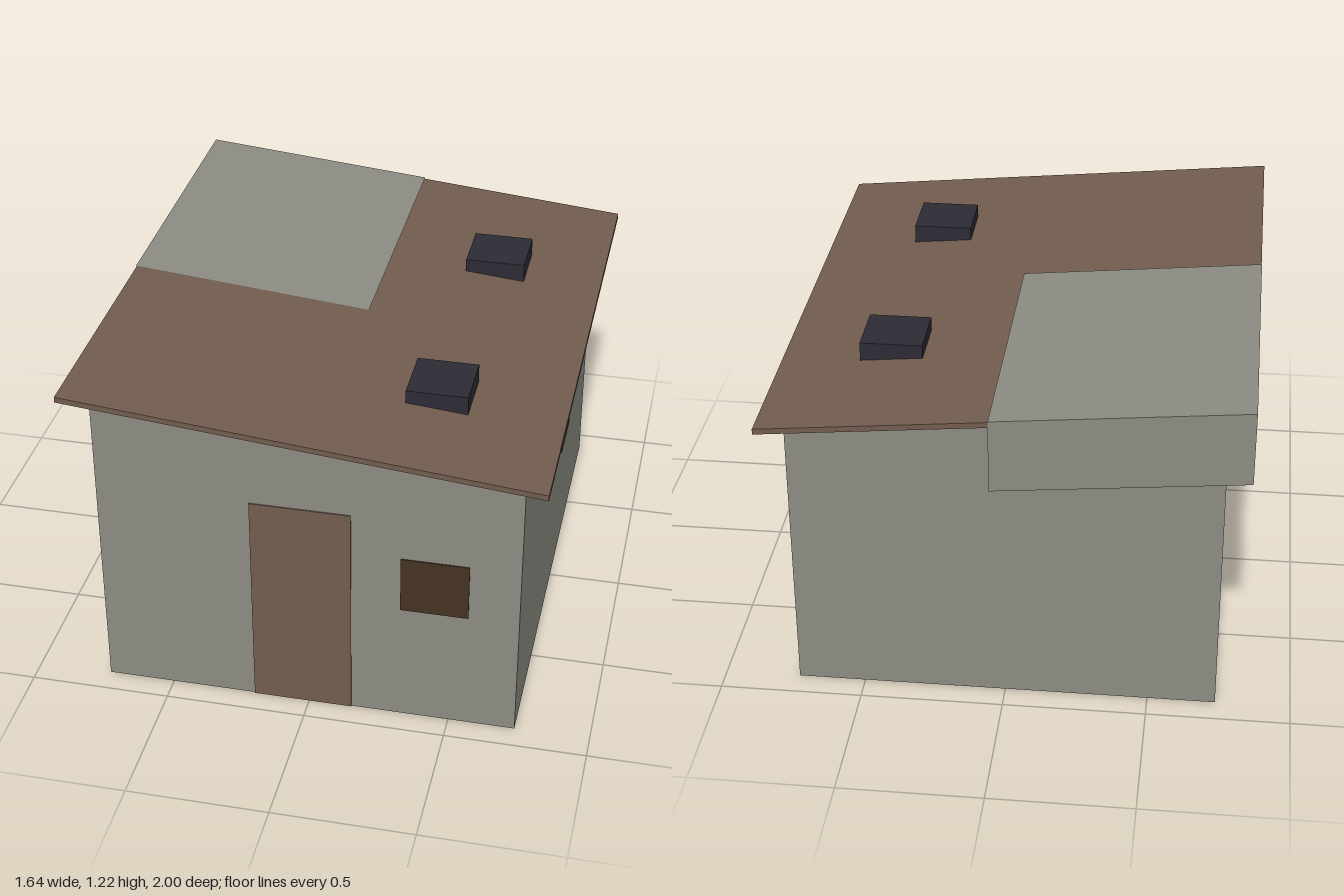
import * as THREE from 'three';

const SLOPE = -0.094;
const roofTop = (x) => 1.14 + SLOPE * x;
const roofUnder = (x) => 1.12 + SLOPE * x;

const mat = (name, color, side = THREE.FrontSide) => {
  const m = new THREE.MeshStandardMaterial({ color, side });
  m.name = name;
  return m;
};

// Flat four-cornered sheet, corners counter-clockwise seen from outside
function sheet(a, b, c, d) {
  const g = new THREE.BufferGeometry();
  g.setAttribute('position', new THREE.Float32BufferAttribute([...a, ...b, ...c, ...d], 3));
  g.setIndex([0, 1, 2, 0, 2, 3]);
  g.computeVertexNormals();
  return g;
}

// Box whose top and bottom heights are functions of x
function slopedBox(x0, x1, z0, z1, bottom, top) {
  const g = new THREE.BoxGeometry(x1 - x0, 1, z1 - z0);
  g.translate((x0 + x1) / 2, 0, (z0 + z1) / 2);
  const p = g.attributes.position;
  for (let i = 0; i < p.count; i++) {
    p.setY(i, (p.getY(i) > 0 ? top : bottom)(p.getX(i)));
  }
  g.computeVertexNormals();
  return g;
}

export function createModel() {
  const model = new THREE.Group();
  model.name = 'shed';
  const plaster = mat('grey plaster', 0x8c8c84, THREE.DoubleSide);
  const wood = mat('brown wood', 0x735d4f);
  const glass = mat('dark window', 0x463322);
  const metal = mat('dark metal', 0x2d2c35);

  const add = (name, geometry, material) => {
    const mesh = new THREE.Mesh(geometry, material);
    mesh.name = name;
    model.add(mesh);
  };

  // Four thin walls, open below, meeting the sloping roof
  const xr = -0.738, xl = 0.736, zf = 0.912, zb = -0.908;
  const wall = (name, [ax, az], [bx, bz]) => add(name, sheet(
    [ax, 0, az], [bx, 0, bz], [bx, roofUnder(bx), bz], [ax, roofUnder(ax), az]), plaster);
  wall('frontWall', [xr, zf], [xl, zf]);
  wall('leftWall', [xl, zf], [xl, zb]);
  wall('backWall', [xl, zb], [xr, zb]);
  wall('rightWall', [xr, zb], [xr, zf]);

  // Roof slab
  add('roof', slopedBox(-0.824, 0.82, -0.997, 1, roofUnder, roofTop), wood);

  // Grey cover on the roof, hanging over the back edge
  const cx0 = -0.825, cx1 = 0.04, cz0 = -1, cz1 = 0.09;
  const coverY = (x) => roofTop(x) + 0.004;
  add('roofCover', sheet(
    [cx0, coverY(cx0), cz1], [cx1, coverY(cx1), cz1],
    [cx1, coverY(cx1), cz0], [cx0, coverY(cx0), cz0]), plaster);
  add('coverFlap', sheet(
    [cx1, coverY(cx1) - 0.264, cz0], [cx0, coverY(cx0) - 0.264, cz0],
    [cx0, coverY(cx0), cz0], [cx1, coverY(cx1), cz0]), plaster);

  // Level-topped vents on the low side of the roof
  const vents = [[0.28, 0.494, 0.412, 0.63, 1.161], [0.322, 0.54, -0.54, -0.325, 1.157]];
  vents.forEach(([x0, x1, z0, z1, y], i) =>
    add(`roofVent${i + 1}`, slopedBox(x0, x1, z0, z1, roofTop, () => y), metal));

  // Door and windows as thin plates on the walls
  const plate = (name, w, h, d, x, y, z, material) =>
    add(name, new THREE.BoxGeometry(w, h, d).translate(x, y, z), material);
  plate('door', 0.352, 0.826, 0.004, -0.023, 0.413, zf + 0.0025, wood);
  plate('frontWindow', 0.236, 0.214, 0.004, 0.443, 0.567, zf + 0.0025, glass);
  plate('sideWindow', 0.004, 0.176, 0.216, xl + 0.0025, 0.567, -0.236, glass);

  return model;
}
